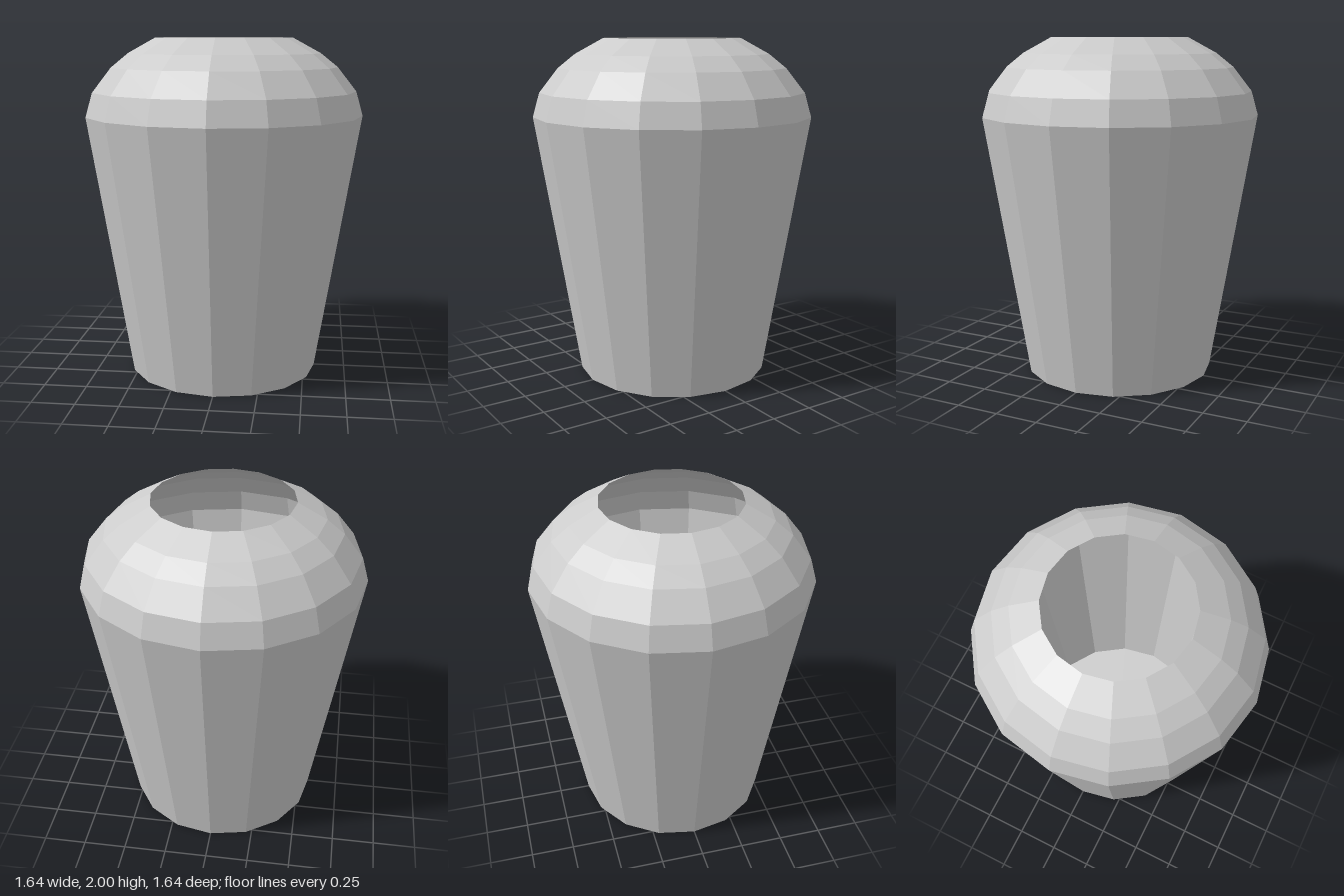
import * as THREE from 'three';

const SIDES = 16;

export function createModel() {
  const group = new THREE.Group();
  group.name = 'vase';
  const material = new THREE.MeshStandardMaterial({
    color: 0xcccccc, flatShading: true, side: THREE.DoubleSide,
  });

  // Thin open shell: tapered wall, then a rounded shoulder up to the mouth
  const profile = [
    [0.565, 0], [0.82, 1.55], [0.78, 1.69], [0.67, 1.83], [0.57, 1.91], [0.405, 2],
  ].map(([r, y]) => new THREE.Vector2(r, y));
  const body = new THREE.Mesh(new THREE.LatheGeometry(profile, SIDES), material);
  body.name = 'body';
  group.add(body);

  // Flat floor, visible from below and through the mouth
  const floor = new THREE.Mesh(new THREE.CircleGeometry(0.565, SIDES), material);
  floor.name = 'floor';
  floor.rotation.x = Math.PI / 2;
  group.add(floor);

  return group;
}
